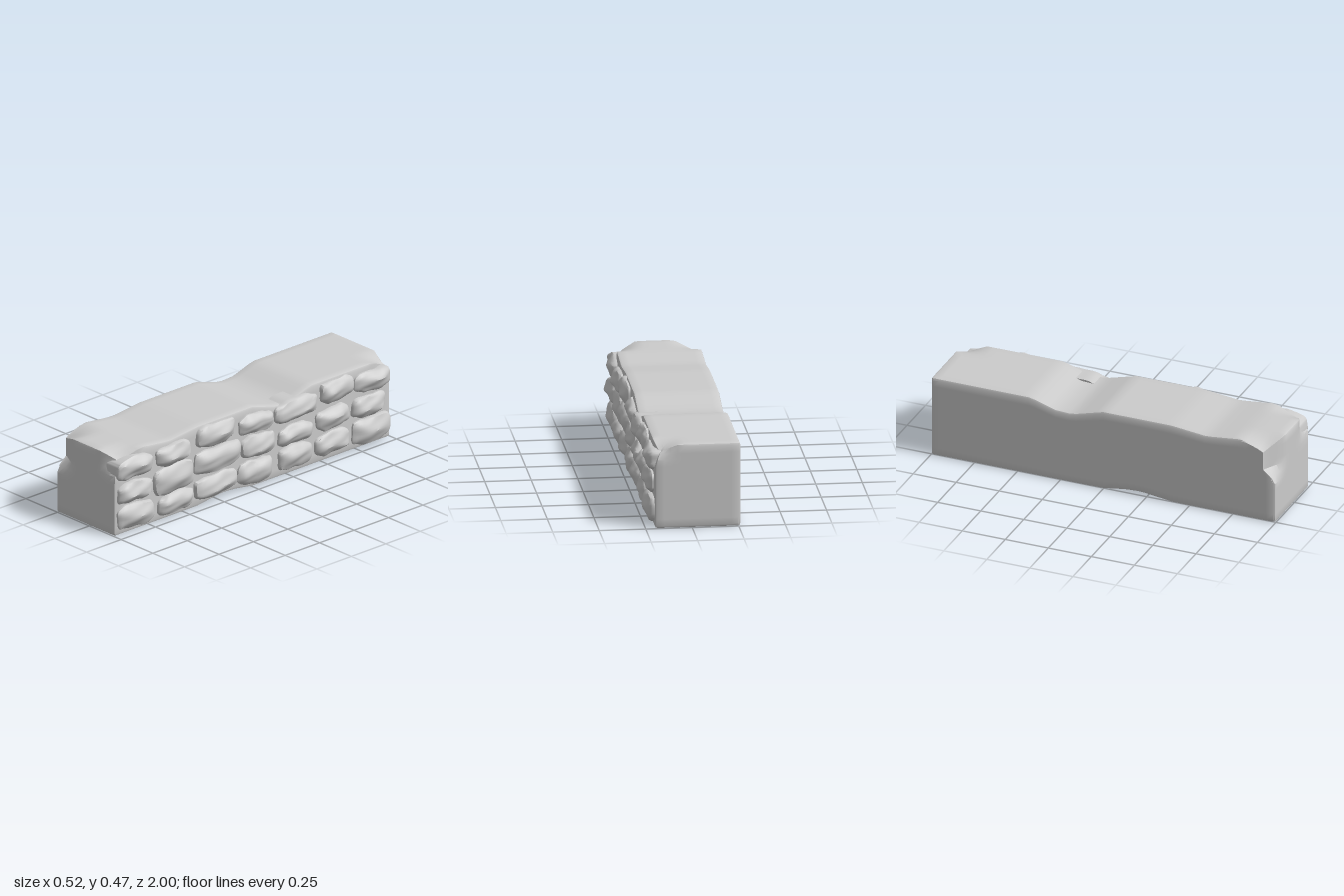
import * as THREE from 'three';
import { toCreasedNormals, mergeVertices } from 'three/addons/utils/BufferGeometryUtils.js';

const { clamp, smoothstep, lerp } = THREE.MathUtils;
const mat = new THREE.MeshStandardMaterial({ color: 0xcccccc });

// piecewise linear lookup through [position, value] pairs
function sample(pairs, t) {
  for (let i = 1; i < pairs.length; i++) {
    const [a, va] = pairs[i - 1], [b, vb] = pairs[i];
    if (t <= b) return lerp(va, vb, clamp((t - a) / (b - a), 0, 1));
  }
  return pairs[pairs.length - 1][1];
}

// move every vertex of a geometry by a rule
function reshape(geo, rule) {
  const p = geo.attributes.position, v = new THREE.Vector3();
  for (let i = 0; i < p.count; i++) {
    v.fromBufferAttribute(p, i);
    rule(v);
    p.setXYZ(i, v.x, v.y, v.z);
  }
  return geo;
}

function finish(geo, crease) {
  geo.deleteAttribute('normal');
  geo.deleteAttribute('uv');
  return toCreasedNormals(mergeVertices(geo, 1e-5), crease);
}

// worn top and bottom lines along the length
const TOP = [[-1, 0.465], [-0.42, 0.465], [-0.28, 0.42], [-0.18, 0.415], [0, 0.465],
  [0.4, 0.465], [0.6, 0.443], [0.8, 0.465], [1, 0.465]];
const BOTTOM = [[-1, 0], [0, 0], [0.13, 0.02], [0.22, 0.024], [0.4, 0], [1, 0]];

// long core block with rounded edges, worn top and chipped corners
function coreBlock() {
  const n = [14, 14, 52], size = [0.46, 0.465, 2], r = 0.014;
  const inner = new THREE.Vector3(), d = new THREE.Vector3();
  const geo = reshape(new THREE.BoxGeometry(1, 1, 1, ...n), (v) => {
    // outermost grid rows become the rounded edge
    v.toArray().forEach((c, k) => {
      const i = Math.round((c + 0.5) * n[k]), h = size[k] / 2;
      const q = i === 0 ? -h : i === n[k] ? h : lerp(-h + r, h - r, (i - 1) / (n[k] - 2));
      v.setComponent(k, q);
      inner.setComponent(k, clamp(q, -h + r, h - r));
    });
    d.subVectors(v, inner);
    if (d.lengthSq() > 0) v.copy(inner).addScaledVector(d.normalize(), r);
    v.x -= 0.03;

    const t = v.y / 0.465 + 0.5;
    v.y = lerp(sample(BOTTOM, v.z), sample(TOP, v.z), t);

    // weights toward the chipped left and right sides
    const left = clamp((-0.12 - v.x) / 0.13, 0, 1);
    const right = clamp((v.x - 0.07) / 0.11, 0, 1);
    const front = clamp((v.z - 0.8) / 0.14, 0, 1);
    const back = clamp((-0.86 - v.z) / 0.12, 0, 1);
    const y0 = v.y;
    v.y = Math.min(v.y, 0.465 - 0.055 * front * left - 0.05 * front * right - 0.05 * back * right);
    v.z = Math.min(v.z, 1 - 0.07 * left * smoothstep(y0, 0.24, 0.31)
      - 0.055 * right * smoothstep(y0, 0.32, 0.42));
    v.z = Math.max(v.z, -1 + 0.035 * right * smoothstep(y0, 0.38, 0.45));
    // upper edge of the stone side worn back at the ends
    v.x = Math.min(v.x, 0.2 - 0.03 * Math.max(front, back) * smoothstep(y0, 0.34, 0.43));
  });
  return finish(geo, 0.5);
}

// facing stones: [z front, z back, y bottom, y top], one list per course
const COURSES = {
  top: [[0.985, 0.74, 0.31, 0.43], [0.705, 0.46, 0.31, 0.425], [0.41, 0.14, 0.33, 0.457],
    [0.105, -0.135, 0.315, 0.425], [-0.155, -0.46, 0.31, 0.428], [-0.485, -0.72, 0.33, 0.455],
    [-0.735, -0.985, 0.315, 0.43]],
  middle: [[0.985, 0.74, 0.175, 0.29], [0.72, 0.44, 0.145, 0.305], [0.43, 0.1, 0.18, 0.317],
    [0.09, -0.155, 0.175, 0.3], [-0.18, -0.42, 0.17, 0.28], [-0.455, -0.69, 0.18, 0.3],
    [-0.715, -0.95, 0.175, 0.295]],
  bottom: [[0.985, 0.73, 0.025, 0.16], [0.69, 0.44, 0.025, 0.143], [0.43, 0.125, 0.038, 0.16],
    [0.11, -0.13, 0.025, 0.16], [-0.18, -0.42, 0.03, 0.163], [-0.45, -0.69, 0.035, 0.16],
    [-0.715, -0.985, 0.02, 0.165]],
};

// rough stone set into the core, with a wavy outline and a hewn face
function stone([z1, z0, y0, y1], seed) {
  const hz = (z1 - z0) / 2, hy = (y1 - y0) / 2;
  const geo = reshape(new THREE.BoxGeometry(2, 2, 2, 3, 10, 16), (v) => {
    const { y: b, z: a } = v;
    const depth = (v.x + 1) / 2;
    // rounded rectangle outline
    const cut = 0.045 * Math.max(0, Math.abs(a * b) - 0.5) * 2;
    const wobY = 0.005 * Math.sin(a * 3.1 + seed * 1.7) + 0.002 * Math.sin(a * 8 + seed);
    const wobZ = 0.004 * Math.sin(b * 2.3 + seed * 2.9);
    const shrink = depth > 0.9 ? 0.005 : 0;
    v.z = (z0 + z1) / 2 + a * (hz - cut * 0.3 - shrink) + wobZ * Math.abs(a);
    v.y = (y0 + y1) / 2 + b * (hy - cut * 0.3 - shrink) + wobY * Math.abs(b);
    // hewn face: soft dome, one slanting ridge and small bumps
    const dome = (1 - Math.abs(a) ** 5) * (1 - Math.abs(b) ** 3);
    const ridge = 1 - Math.min(1, Math.abs(b - 0.35 * Math.sin(seed * 2.1) - 0.4 * a * Math.sin(seed)));
    const bump = 0.004 * Math.sin(a * 4 + seed * 3) + 0.003 * Math.sin(b * 5 + a * 3 + seed);
    const face = Math.min(0.257, 0.219 + dome * (0.013 + 0.016 * ridge + bump)
      + 0.004 * Math.sin(seed * 4 + a * 2));
    v.x = depth < 0.1 ? 0.1 : depth < 0.5 ? 0.19 : depth < 0.9 ? 0.21 : face;
  });
  return finish(geo, 0.6);
}

export function createModel() {
  const group = new THREE.Group();
  group.name = 'stoneWall';
  const add = (parent, name, geo) => {
    const mesh = new THREE.Mesh(geo, mat);
    mesh.name = name;
    parent.add(mesh);
  };
  add(group, 'coreBlock', coreBlock());
  let seed = 1;
  for (const [name, stones] of Object.entries(COURSES)) {
    const course = new THREE.Group();
    course.name = name + 'Course';
    stones.forEach((s, i) => add(course, `${name}Stone${i + 1}`, stone(s, seed++)));
    group.add(course);
  }
  return group;
}
